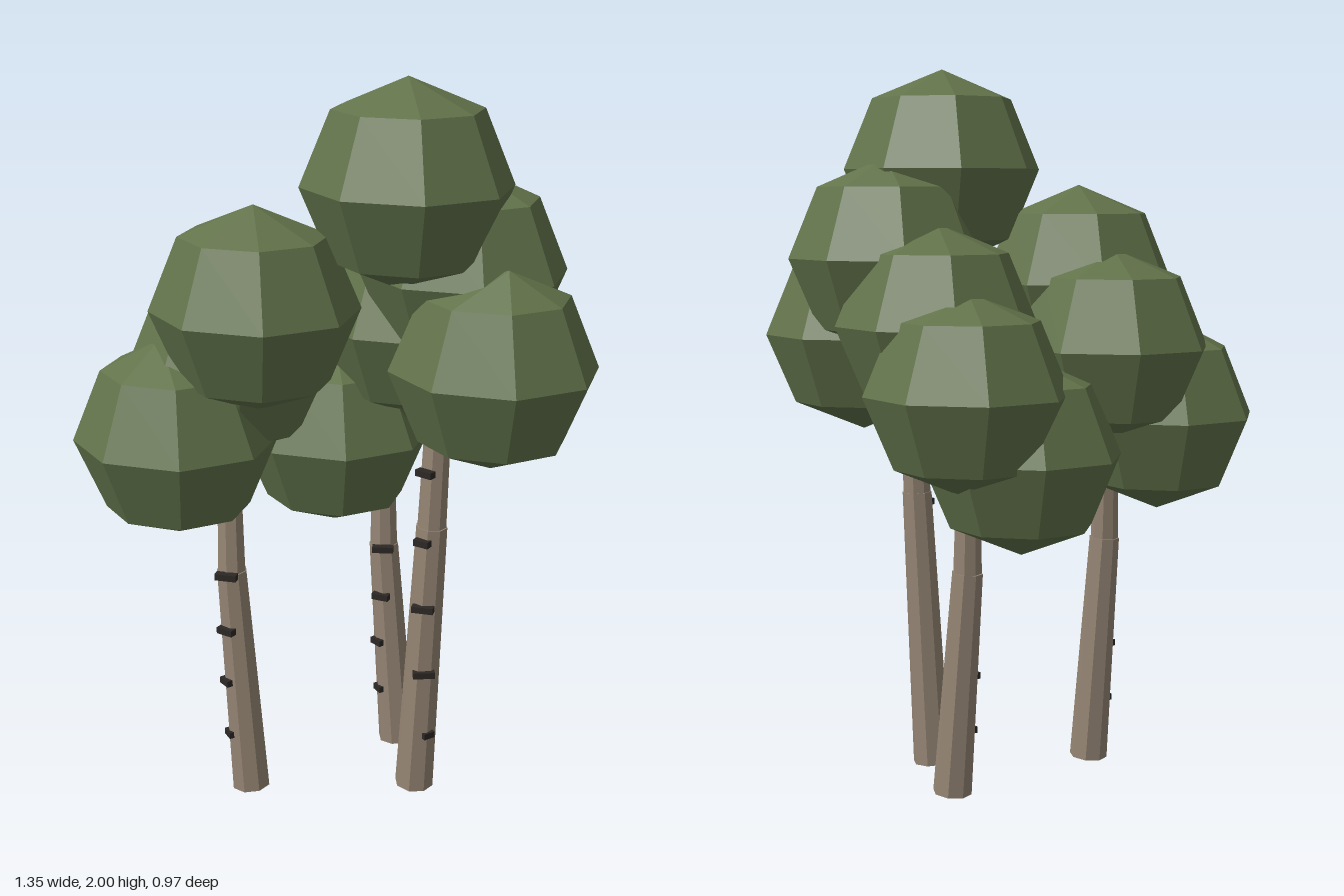
import * as THREE from 'three';

const mat = (name, color) => {
  const m = new THREE.MeshStandardMaterial({ color, flatShading: true });
  m.name = name;
  return m;
};

// Eight-sided leaf ball; tip shifts the top point sideways a little
function leafBall([x, y, z, tipX = 0, tipZ = 0], material) {
  const geo = new THREE.SphereGeometry(1, 8, 4, Math.PI / 8).scale(0.278, 0.273, 0.254);
  const p = geo.attributes.position;
  for (let i = 0; i < p.count; i++) {
    if (p.getY(i) > 0.27) p.setXYZ(i, tipX, p.getY(i), tipZ);
  }
  geo.computeVertexNormals();
  const mesh = new THREE.Mesh(geo, material);
  mesh.name = 'leafBall';
  mesh.position.set(x, y, z);
  return mesh;
}

// Tapered trunk piece between two points
function trunkPiece(a, b, r0, r1, material) {
  const from = new THREE.Vector3(...a), to = new THREE.Vector3(...b);
  const dir = to.clone().sub(from);
  const mesh = new THREE.Mesh(new THREE.CylinderGeometry(r1, r0, dir.length(), 8), material);
  mesh.name = 'trunkPiece';
  mesh.position.copy(from).add(to).multiplyScalar(0.5);
  mesh.quaternion.setFromUnitVectors(new THREE.Vector3(0, 1, 0), dir.normalize());
  return mesh;
}

// Dark bark bar on the front of the trunk, turned to face outward from its axis
function barkMark([x, y, width], axisX, axisZ, material) {
  const mesh = new THREE.Mesh(new THREE.BoxGeometry(width, 0.018, 0.022), material);
  mesh.name = 'barkMark';
  mesh.position.set(x, y, axisZ + Math.sqrt(0.047 ** 2 - (x - axisX) ** 2));
  mesh.rotation.y = Math.atan2(x - axisX, mesh.position.z - axisZ);
  return mesh;
}

// path: base, bend and top of the trunk; marks: x, y, width; balls: centre and tip shift
const trees = [
  {
    name: 'leftTallTree',
    path: [[0.22, 0.006, 0.115], [0.26, 0.81, 0.117], [0.285, 1.5, 0.105]],
    radii: [0.055, 0.043, 0.03],
    marks: [[0.265, 0.185, 0.035], [0.255, 0.38, 0.06], [0.25, 0.58, 0.06], [0.245, 0.775, 0.045], [0.25, 0.975, 0.05]],
    balls: [[0.18, 1.727, 0.115], [0.415, 1.265, 0.115, 0.04, 0.04], [0.3, 1.485, -0.02, 0, -0.03]],
  },
  {
    name: 'rightFrontTree',
    path: [[-0.225, 0.006, 0.255], [-0.267, 0.67, 0.255], [-0.28, 1.2, 0.22]],
    radii: [0.055, 0.043, 0.028],
    marks: [[-0.27, 0.18, 0.035], [-0.275, 0.345, 0.04], [-0.27, 0.505, 0.05], [-0.265, 0.67, 0.06]],
    balls: [[-0.185, 1.412, 0.25], [-0.418, 1.037, 0.25, -0.035, 0], [-0.3, 1.24, 0.115]],
  },
  {
    name: 'backTree',
    path: [[0.105, 0.006, -0.12], [0.06, 0.635, -0.12], [0.05, 1.15, -0.135]],
    radii: [0.055, 0.043, 0.028],
    marks: [[0.06, 0.18, 0.035], [0.055, 0.335, 0.04], [0.065, 0.485, 0.05], [0.07, 0.635, 0.06]],
    balls: [[-0.09, 0.965, -0.125], [0.03, 1.14, -0.255], [0.14, 1.31, -0.125]],
  },
];

export function createModel() {
  const leaves = mat('leafGreen', 0x62734a);
  const bark = mat('paleBark', 0x958574);
  const dark = mat('darkBark', 0x2c2825);
  const model = new THREE.Group();
  model.name = 'treeCluster';

  for (const { name, path, radii, marks, balls } of trees) {
    const tree = new THREE.Group();
    tree.name = name;
    const [base, bend, top] = path;
    tree.add(trunkPiece(base, bend, radii[0], radii[1], bark));
    tree.add(trunkPiece(bend, top, radii[1] - 0.003, radii[2], bark));
    for (const m of marks) {
      const t = (m[1] - base[1]) / (bend[1] - base[1]);
      const axisX = THREE.MathUtils.lerp(base[0], bend[0], t);
      const axisZ = THREE.MathUtils.lerp(base[2], bend[2], t);
      tree.add(barkMark(m, axisX, axisZ, dark));
    }
    for (const b of balls) tree.add(leafBall(b, leaves));
    model.add(tree);
  }
  return model;
}
